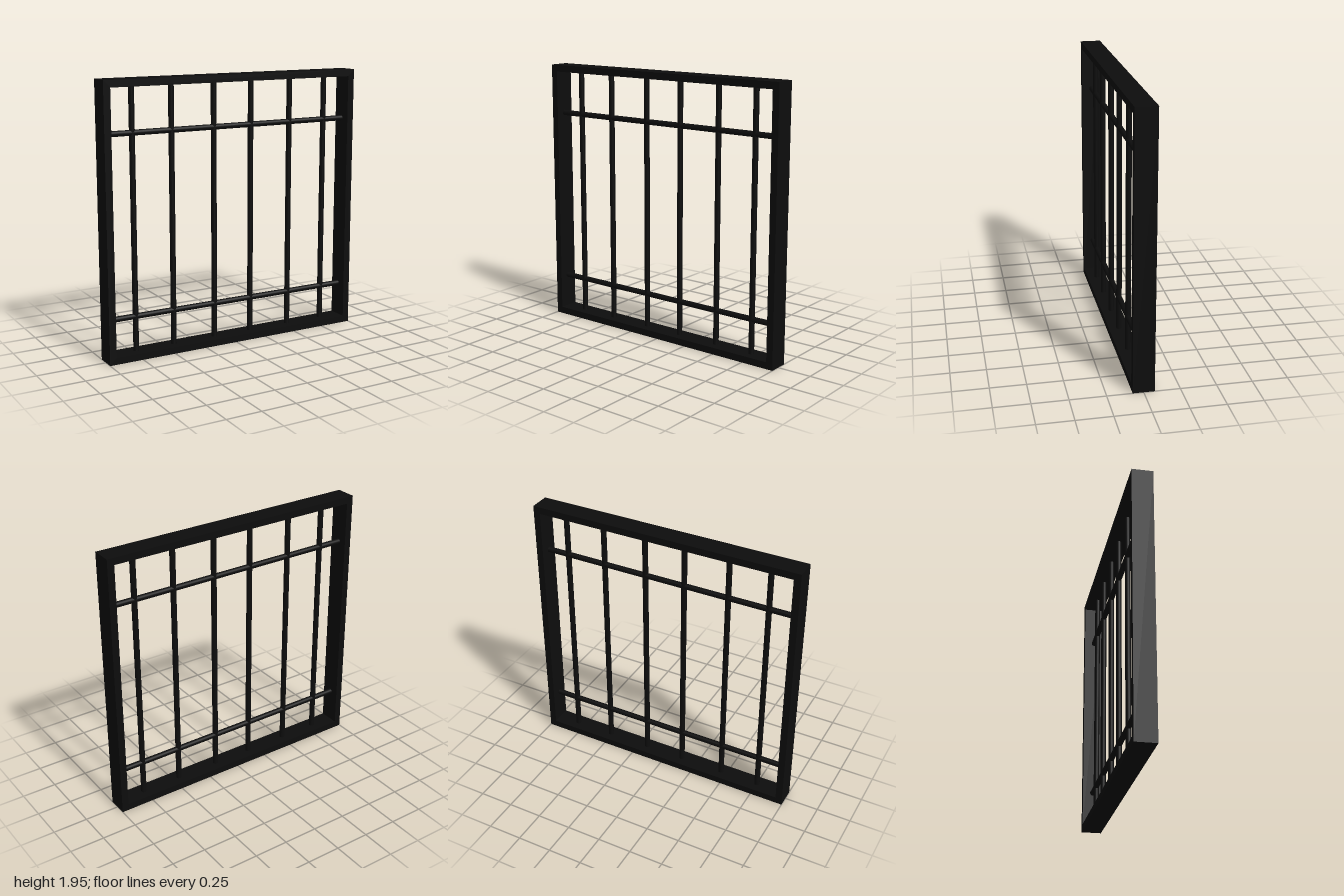
import * as THREE from 'three';

const HEIGHT = 1.95, DEPTH = 0.15, RIM = 0.05, BAR_RADIUS = 0.02;

function rectangle(PathType, x, y0, y1) {
  return new PathType([[-x, y0], [x, y0], [x, y1], [-x, y1]].map(([px, py]) => new THREE.Vector2(px, py)));
}

export function createModel() {
  const model = new THREE.Group();
  model.name = 'windowGrille';
  const material = new THREE.MeshStandardMaterial({ color: 0x0d0d0d });

  const add = (name, geometry, x, y, z) => {
    const mesh = new THREE.Mesh(geometry, material);
    mesh.name = name;
    mesh.position.set(x, y, z);
    model.add(mesh);
    return mesh;
  };

  // Outer frame with one large opening
  const outline = rectangle(THREE.Shape, 1, 0, HEIGHT);
  outline.holes.push(rectangle(THREE.Path, 1 - RIM, RIM, HEIGHT - RIM));
  add('frame', new THREE.ExtrudeGeometry(outline, { depth: DEPTH, bevelEnabled: false }), 0, 0, -DEPTH / 2);

  // Upright round bars, ending inside the frame rails
  const upright = new THREE.CylinderGeometry(BAR_RADIUS, BAR_RADIUS, HEIGHT - RIM, 24);
  [-0.77, -0.475, -0.145, 0.155, 0.48, 0.78].forEach((x, i) => {
    add(`uprightBar${i + 1}`, upright, x, HEIGHT / 2, 0);
  });

  // Round cross bars, stopping just short of the left post
  const cross = new THREE.CylinderGeometry(BAR_RADIUS, BAR_RADIUS, 1.905, 24);
  cross.rotateZ(Math.PI / 2);
  add('lowerCrossBar', cross, -0.0075, 0.3, 0);
  add('upperCrossBar', cross, -0.0075, 1.585, 0);

  return model;
}
